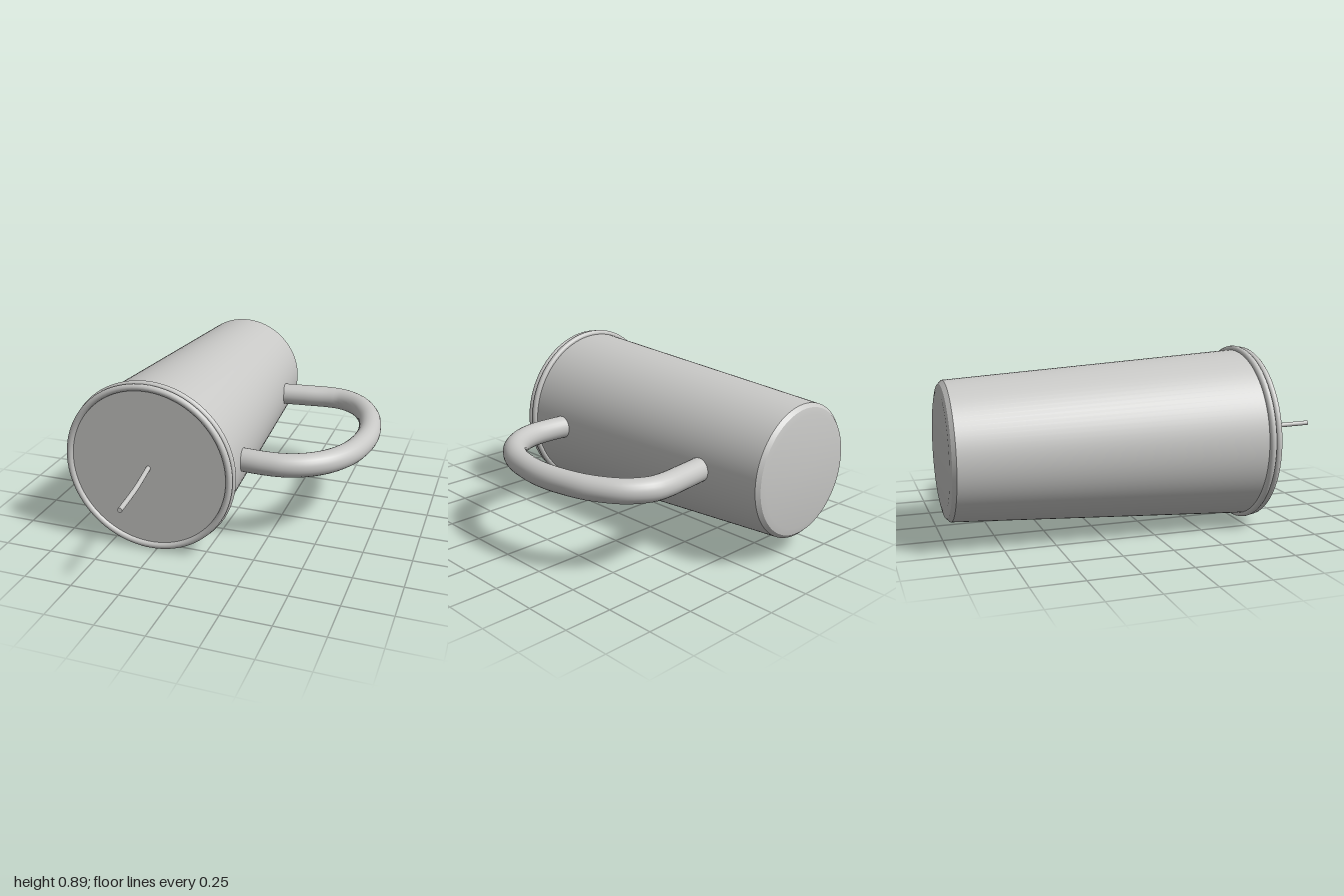
import * as THREE from 'three';
import { toCreasedNormals } from 'three/addons/utils/BufferGeometryUtils.js';

const CX = -0.28, CY = 0.447; // axis of the cup

export function createModel() {
  const group = new THREE.Group();
  const grey = new THREE.MeshStandardMaterial({ color: 0xc8c8c6 });
  grey.name = 'light grey';

  const add = (name, geometry, x = 0, y = 0, z = 0) => {
    const mesh = new THREE.Mesh(geometry, grey);
    mesh.name = name;
    mesh.position.set(x, y, z);
    group.add(mesh);
    return mesh;
  };

  // Tapered body lying on its side: [radius, z] from the base to the lid
  const profile = [[0, -1], [0.285, -1], [0.318, -0.993], [0.336, -0.975], [0.427, 0.53], [0.427, 0.56], [0, 0.56]]
    .map(([r, z]) => new THREE.Vector2(r, z));
  const body = new THREE.LatheGeometry(profile, 96).rotateX(Math.PI / 2);
  add('cupBody', toCreasedNormals(body, 0.4), CX, CY);

  // Rounded rims of the cup and the lid
  add('cupRim', new THREE.TorusGeometry(0.43, 0.017, 14, 96), CX, CY, 0.527);
  add('lidRim', new THREE.TorusGeometry(0.424, 0.017, 14, 96), CX, CY, 0.56);

  // Tube through points in the level plane of the axis, with closed ends
  const rod = (name, points, radius, segments) => {
    const curve = new THREE.CatmullRomCurve3(points.map(([x, z]) => new THREE.Vector3(x, CY + 0.005, z)));
    add(name, new THREE.TubeGeometry(curve, segments, radius, 24));
    for (const t of [0, 1]) {
      const p = curve.getPointAt(t);
      const direction = curve.getTangentAt(t).multiplyScalar(t ? 1 : -1);
      const cap = add(name + 'End', new THREE.CircleGeometry(radius, 24), p.x, p.y, p.z);
      cap.quaternion.setFromUnitVectors(new THREE.Vector3(0, 0, 1), direction);
    }
  };

  rod('handle', [
    [0.04, -0.638], [0.2, -0.657], [0.34, -0.67], [0.42, -0.66], [0.52, -0.595], [0.605, -0.46], [0.645, -0.32],
    [0.66, -0.18], [0.648, -0.05], [0.612, 0.08], [0.535, 0.2], [0.44, 0.275], [0.34, 0.312], [0.24, 0.32], [0.08, 0.31],
  ], 0.06, 72);

  rod('straw', [[-0.285, 0.5], [-0.273, 0.58], [-0.241, 0.78], [-0.218, 0.999]], 0.012, 16);

  return group;
}
